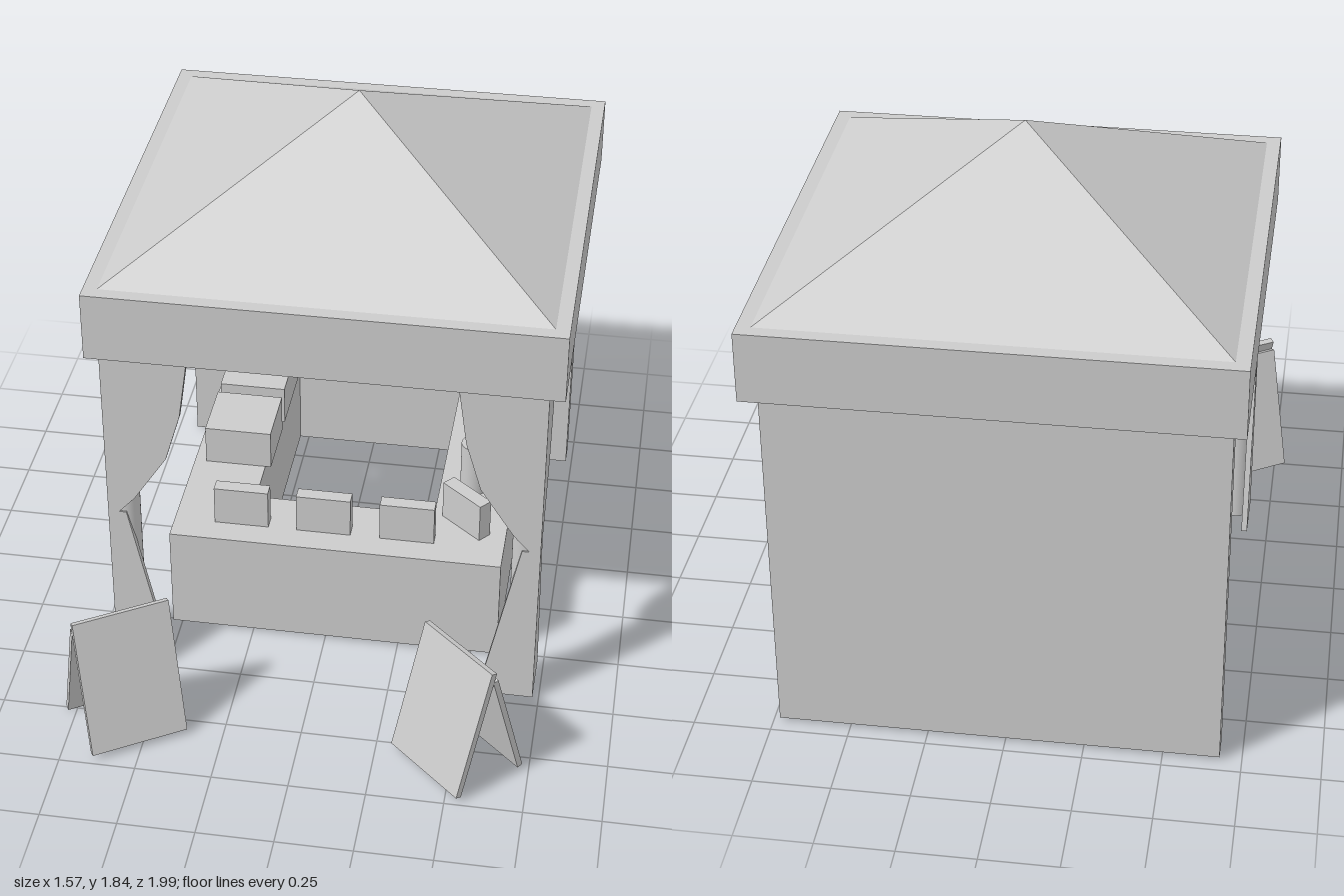
import * as THREE from 'three';

const mat = new THREE.MeshStandardMaterial({ color: 0xcccccc });
const flat = new THREE.MeshStandardMaterial({ color: 0xcccccc, flatShading: true });

// Stall footprint and heights
const CX = 0.03, LEFT = 0.73, RIGHT = -0.68, FRONT = 0.47;
const FLOOR = 0.01, COUNTER = 0.385, EAVES = 1.235, RIM = 1.465;

export function createModel() {
  const root = new THREE.Group();
  root.name = 'marketStall';

  const add = (name, geometry, material = mat, parent = root) => {
    const mesh = new THREE.Mesh(geometry, material);
    mesh.name = name;
    parent.add(mesh);
    return mesh;
  };
  // Box given by its limits on each axis
  const box = (name, x0, x1, y0, y1, z0, z1) => {
    const m = add(name, new THREE.BoxGeometry(x1 - x0, y1 - y0, z1 - z0));
    m.position.set((x0 + x1) / 2, (y0 + y1) / 2, (z0 + z1) / 2);
    return m;
  };
  const cylinder = (name, x, z, r, y0, y1) => {
    const m = add(name, new THREE.CylinderGeometry(r, r, y1 - y0, 32));
    m.position.set(x, (y0 + y1) / 2, z);
    return m;
  };
  const extrude = (points, depth) => new THREE.ExtrudeGeometry(
    new THREE.Shape(points.map(([x, y]) => new THREE.Vector2(x, y))),
    { depth, bevelEnabled: false });

  // Canopy: square valance with a pyramid on top
  box('canopyValance', -0.72, 0.78, EAVES, RIM, -1, 0.5);
  const roof = add('canopyRoof',
    new THREE.ConeGeometry(0.705 * Math.SQRT2, 0.375, 4).rotateY(Math.PI / 4), flat);
  roof.position.set(CX, RIM + 0.1875, -0.25);

  // Back wall
  box('backWall', RIGHT, LEFT, FLOOR, EAVES, -0.95, -0.86);

  // U-shaped counter, open towards the back wall
  const counter = add('counter', extrude([
    [-0.53, -0.27], [0.59, -0.27], [0.59, 0.86], [0.337, 0.86],
    [0.337, -0.02], [-0.28, -0.02], [-0.28, 0.86], [-0.53, 0.86],
  ], COUNTER - FLOOR).rotateX(-Math.PI / 2));
  counter.position.y = FLOOR;

  // Corner poles, each wrapped by tied-back curtains on two sides
  const T = 0.02;
  const upper = [[0, EAVES], [0.28, EAVES], [0.25, 1.02], [0.2, 0.85],
    [0.09, 0.68], [0.01, 0.59], [0, 0.59]];
  const lower = [[0, 0.62], [0.06, 0.62], [0.185, FLOOR], [0, FLOOR]];
  for (const [side, edge, inward] of [['left', LEFT, -1], ['right', RIGHT, 1]]) {
    cylinder(side + 'Pole', edge + inward * 0.05, FRONT - 0.05, 0.045, FLOOR, EAVES);
    for (const [part, pts] of [['Upper', upper], ['Lower', lower]]) {
      const front = add(`${side}Front${part}Curtain`,
        extrude(pts.map(([w, y]) => [inward * w, y]), T));
      front.position.set(edge, 0, FRONT - T);
      const flank = add(`${side}Side${part}Curtain`,
        extrude(pts, T).rotateY(Math.PI / 2));
      flank.position.set(inward < 0 ? edge - T : edge, 0, FRONT);
    }
  }

  // Goods: upright packets along the front, one turned at the corner
  for (const x of [-0.3, -0.02, 0.263]) {
    box('frontPacket', x - 0.092, x + 0.092, COUNTER, 0.525, 0.133, 0.18);
  }
  const turned = box('cornerPacket', 0.36, 0.54, COUNTER, 0.525, 0.038, 0.088);
  turned.rotation.y = -0.7;

  // Goods: crates on the right arm, jars on the left arm
  box('shortCrate', -0.49, -0.26, COUNTER, 0.525, -0.38, -0.155);
  box('longCrate', -0.49, -0.26, COUNTER, 0.525, -0.76, -0.43);
  cylinder('tallJar', 0.45, -0.15, 0.045, COUNTER, 0.575);
  cylinder('shortJar', 0.455, -0.29, 0.045, COUNTER, 0.48);

  // Folding A-frame boards standing before the stall
  const W = 0.323;
  const leaves = {
    frontLeaf: [[0.14, 0.02], [0.009, 0.465], [-0.011, 0.459], [0.12, 0.014]],
    backLeaf: [[-0.14, 0.006], [-0.018, 0.43], [0.001, 0.424], [-0.121, 0]],
  };
  for (const [name, x, z, turn] of [
    ['rightBoard', -0.577, 0.781, 0.56], ['leftBoard', 0.514, 0.78, -0.745],
  ]) {
    const board = new THREE.Group();
    board.name = name;
    for (const [leaf, pts] of Object.entries(leaves)) {
      add(leaf, extrude(pts, W).translate(0, 0, -W / 2).rotateY(-Math.PI / 2), mat, board);
    }
    board.position.set(x, 0, z);
    board.rotation.y = turn;
    root.add(board);
  }

  return root;
}
